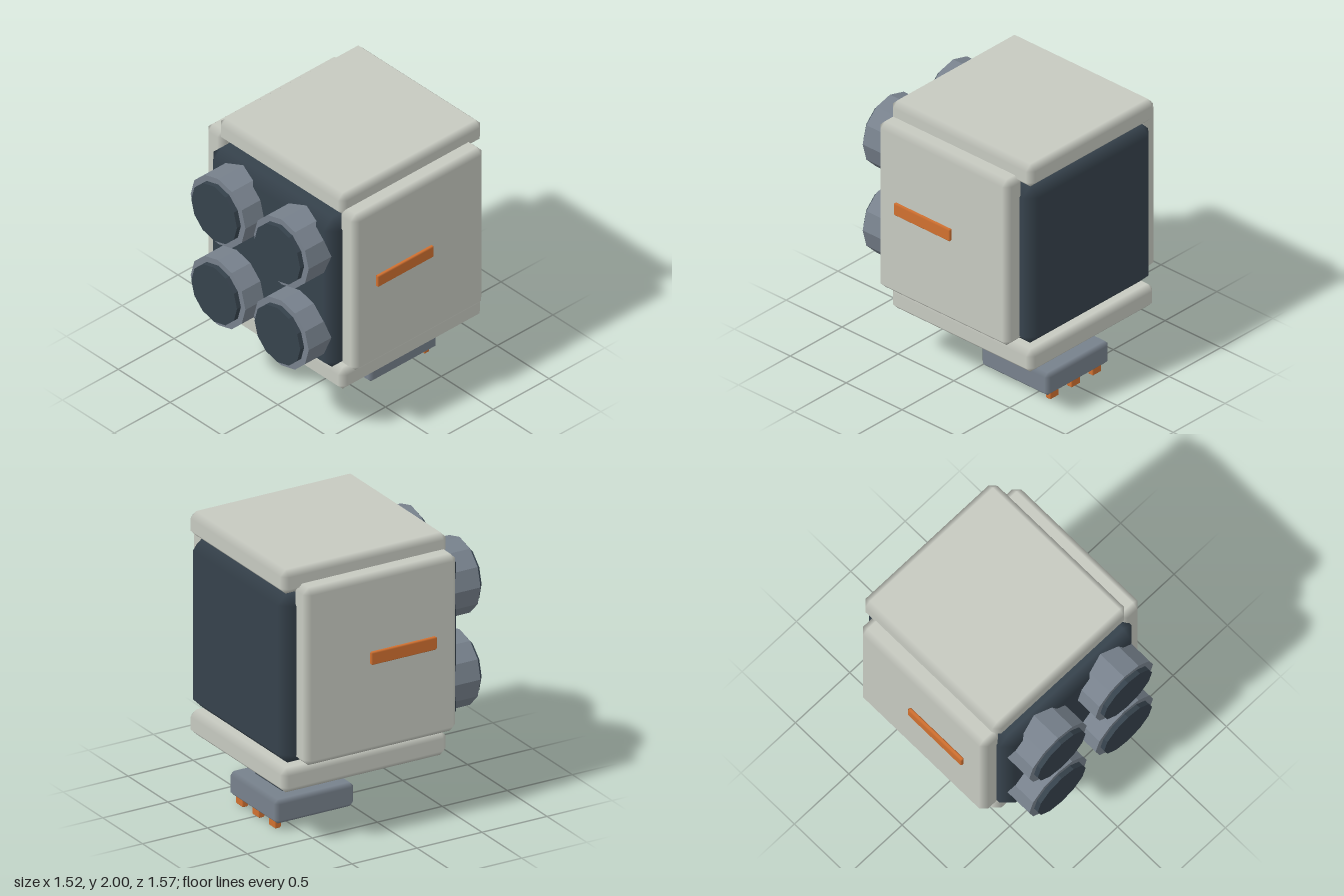
import * as THREE from 'three';

const mat = (name, color) => Object.assign(new THREE.MeshStandardMaterial({ color }), { name });

// Box with a single chamfer along every edge; shading blends across the chamfers.
function chamferBox(w, h, d, b) {
  const half = [w / 2, h / 2, d / 2];
  const pos = [], nor = [], idx = [], ids = {};
  const signs = [-1, 1];
  for (let a = 0; a < 3; a++)
    for (const x of signs) for (const y of signs) for (const z of signs) {
      const s = [x, y, z];
      ids[[a, ...s]] = pos.length / 3;
      pos.push(...s.map((v, i) => v * (half[i] - (i === a ? 0 : b))));
      nor.push(...s.map((v, i) => (i === a ? v : 0)));
    }
  const point = (i) => new THREE.Vector3().fromArray(pos, i * 3);
  // Adds a triangle, turned so that it faces outwards
  const tri = (i, j, k, out) => {
    const n = point(j).sub(point(i)).cross(point(k).sub(point(i)));
    if (n.dot(out) > 0) idx.push(i, j, k);
    else idx.push(i, k, j);
  };
  const quad = (p, q, r, s, out) => { tri(p, q, r, out); tri(p, r, s, out); };
  for (let a = 0; a < 3; a++) {
    const u = (a + 1) % 3, v = (a + 2) % 3;
    const id = (axis, sa, su, sv) => {
      const s = [];
      s[a] = sa; s[u] = su; s[v] = sv;
      return ids[[axis, ...s]];
    };
    const dir = (sa, su) => new THREE.Vector3().setComponent(a, sa).setComponent(u, su);
    for (const s of signs) {
      // Flat face
      quad(id(a, s, -1, -1), id(a, s, 1, -1), id(a, s, 1, 1), id(a, s, -1, 1), dir(s, 0));
      // Chamfers running along axis v
      for (const t of signs)
        quad(id(a, s, t, -1), id(a, s, t, 1), id(u, s, t, 1), id(u, s, t, -1), dir(s, t));
    }
  }
  // Corner triangles
  for (const x of signs) for (const y of signs) for (const z of signs)
    tri(ids[[0, x, y, z]], ids[[1, x, y, z]], ids[[2, x, y, z]], new THREE.Vector3(x, y, z));
  const g = new THREE.BufferGeometry();
  g.setAttribute('position', new THREE.Float32BufferAttribute(pos, 3));
  g.setAttribute('normal', new THREE.Float32BufferAttribute(nor, 3));
  g.setIndex(idx);
  return g;
}

export function createModel() {
  const shell = mat('pale shell', 0xc6c9c0);
  const dark = mat('dark slate', 0x36424c);
  const grey = mat('steel grey', 0x77818c);
  const orange = mat('orange accent', 0xd07030);

  const model = new THREE.Group();
  model.name = 'launcherPod';
  const add = (name, geometry, material) => {
    const mesh = new THREE.Mesh(geometry, material);
    mesh.name = name;
    model.add(mesh);
    return mesh;
  };
  // Chamfered box from its min/max extents
  const block = (name, [x0, x1], [y0, y1], [z0, z1], bevel, material) =>
    add(name, chamferBox(x1 - x0, y1 - y0, z1 - z0, bevel), material)
      .position.set((x0 + x1) / 2, (y0 + y1) / 2, (z0 + z1) / 2);

  // Core and armour panels
  block('body', [-0.607, 0.607], [0.6, 1.815], [-0.787, 0.585], 0.075, dark);
  block('topPanel', [-0.607, 0.607], [1.828, 2], [-0.787, 0.486], 0.043, shell);
  block('bottomPanel', [-0.607, 0.607], [0.406, 0.58], [-0.787, 0.486], 0.043, shell);
  for (const [side, s] of [['left', 1], ['right', -1]]) {
    const span = (a, b) => (s > 0 ? [a, b] : [-b, -a]);
    block(side + 'Panel', span(0.555, 0.728), [0.623, 1.893], [-0.687, 0.486], 0.043, shell);
    block(side + 'Stripe', span(0.728, 0.758), [1.26, 1.352], [-0.2, 0.306], 0.009, orange);
  }

  // Four twelve-sided tubes with dark caps
  const tube = (r, z0, z1) => {
    const g = new THREE.CylinderGeometry(r, r, z1 - z0, 12).toNonIndexed();
    g.rotateX(Math.PI / 2).translate(0, 0, (z0 + z1) / 2);
    g.computeVertexNormals();
    return g;
  };
  const tubeGeometry = tube(0.264, 0.45, 0.752);
  const capGeometry = tube(0.22, 0.7, 0.787);
  for (const x of [-0.305, 0.305])
    for (const y of [0.875, 1.535]) {
      add('tube', tubeGeometry, grey).position.set(x, y, 0);
      add('tubeCap', capGeometry, dark).position.set(x, y, 0);
    }

  // Mount below: neck, base plate and three pegs
  block('neck', [-0.177, 0.177], [0.2, 0.43], [-0.531, -0.178], 0.008, dark);
  block('basePlate', [-0.303, 0.303], [0.05, 0.222], [-0.657, -0.05], 0.028, grey);
  for (const x of [-0.205, 0, 0.205])
    block('peg', [x - 0.044, x + 0.044], [0, 0.07], [-0.632, -0.584], 0.008, orange);

  return model;
}
